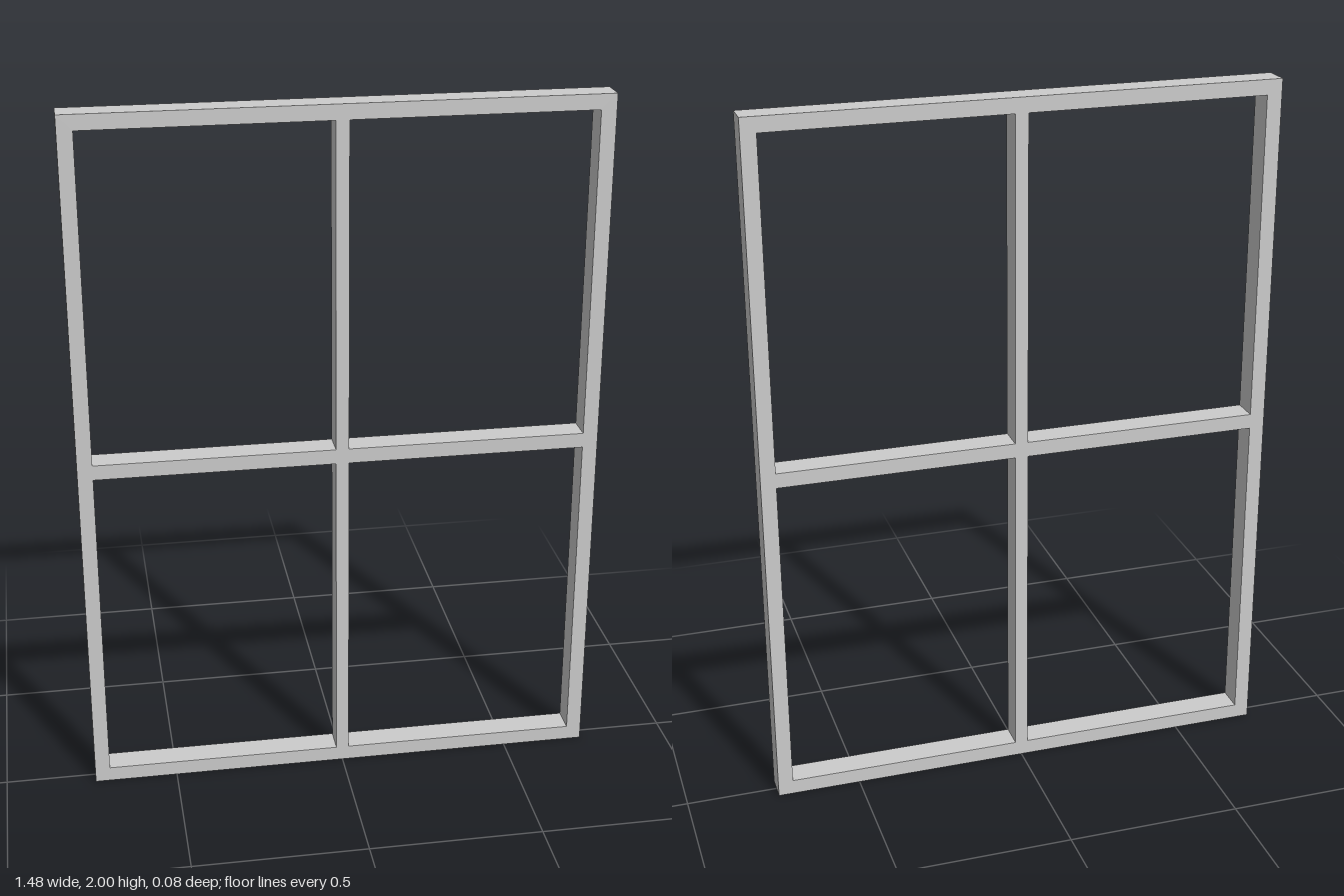
import * as THREE from 'three';

const HALF_W = 0.74, HEIGHT = 2, DEPTH = 0.078;
const STILE = 0.043;                 // side bar width
const RAIL = 0.043;                  // top and bottom bar height
const MULLION = 0.037;               // central upright width
const TRANSOM = 0.043;               // central crossbar height

// Closed rectangle from two opposite corners
function rect(target, x0, y0, x1, y1) {
  target.moveTo(x0, y0);
  target.lineTo(x1, y0);
  target.lineTo(x1, y1);
  target.lineTo(x0, y1);
  target.closePath();
  return target;
}

export function createModel() {
  const group = new THREE.Group();
  group.name = 'window';

  // Outer frame and crossing bars as one solid, with four pane openings
  const outline = rect(new THREE.Shape(), -HALF_W, 0, HALF_W, HEIGHT);
  const columns = [[-HALF_W + STILE, -MULLION / 2], [MULLION / 2, HALF_W - STILE]];
  const rows = [
    [RAIL, (HEIGHT - TRANSOM) / 2],
    [(HEIGHT + TRANSOM) / 2, HEIGHT - RAIL],
  ];
  for (const [x0, x1] of columns)
    for (const [y0, y1] of rows)
      outline.holes.push(rect(new THREE.Path(), x0, y0, x1, y1));

  const geometry = new THREE.ExtrudeGeometry(outline, { depth: DEPTH, bevelEnabled: false });
  geometry.translate(0, 0, -DEPTH / 2);

  const frame = new THREE.Mesh(geometry, new THREE.MeshStandardMaterial({ color: 0xcccccc }));
  frame.name = 'windowFrame';
  group.add(frame);
  return group;
}
